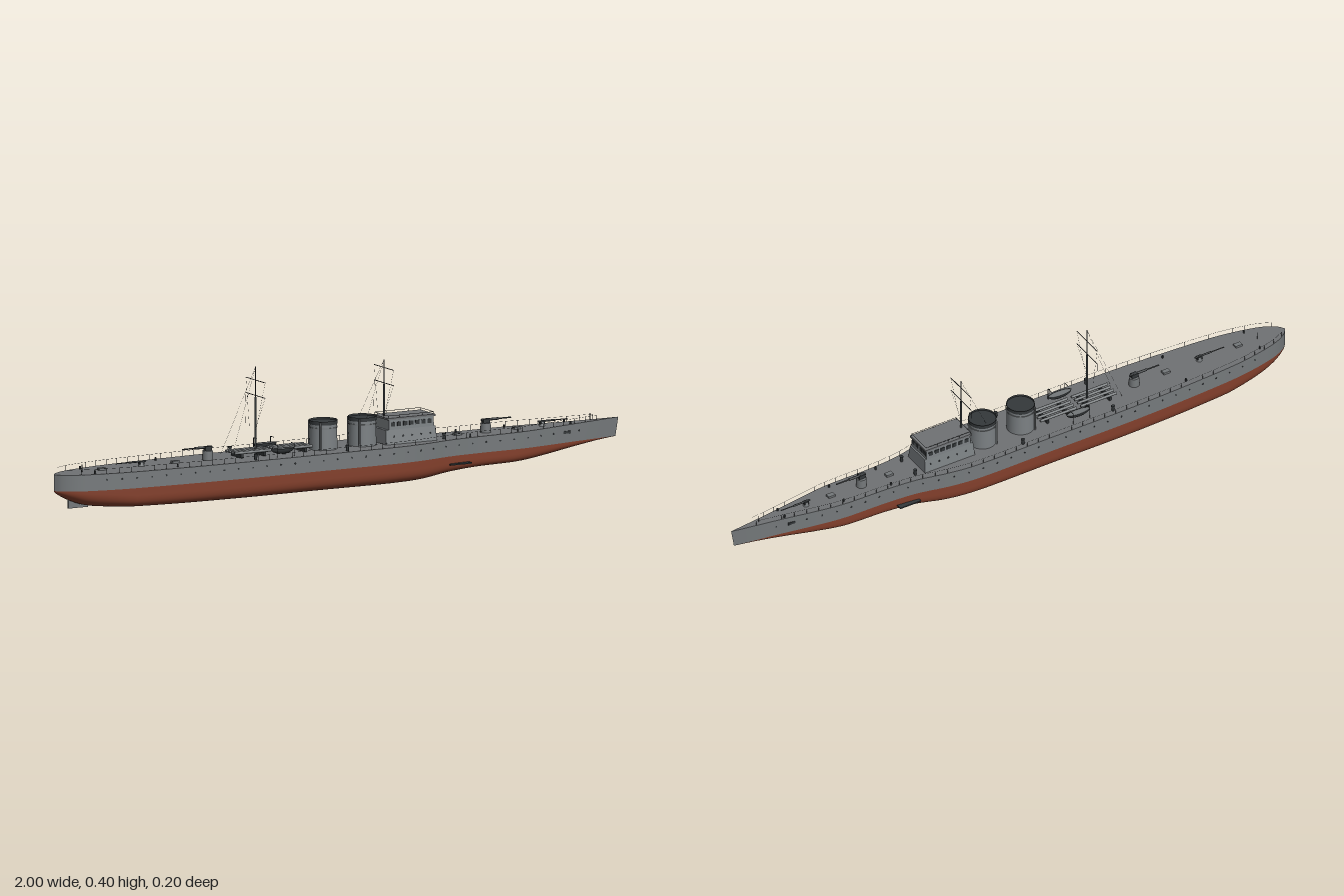
import * as THREE from 'three';
import { mergeGeometries } from 'three/addons/utils/BufferGeometryUtils.js';

const WL = 0.068; // waterline height
const mat = (name, color, side = THREE.FrontSide) => {
  const m = new THREE.MeshStandardMaterial({ color, side });
  m.name = name;
  return m;
};

// Hull stations: x, half beam, keel height
const stations = [
  [-1, 0, 0.066], [-0.985, 0.02, 0.055], [-0.95, 0.042, 0.036], [-0.9, 0.058, 0.018], [-0.8, 0.077, 0.007],
  [-0.65, 0.089, 0.002], [-0.4, 0.099, 0], [-0.1, 0.1, 0], [0.18, 0.1, 0], [0.27, 0.089, 0.003], [0.37, 0.068, 0.014],
  [0.47, 0.06, 0.021], [0.63, 0.056, 0.025], [0.72, 0.044, 0.034], [0.83, 0.025, 0.049], [0.92, 0.011, 0.061], [0.99, 0.0005, 0.068],
];
const hullCurve = new THREE.CatmullRomCurve3(stations.map(s => new THREE.Vector3(...s)));
const N = 110;
const rows = hullCurve.getPoints(N).map(p => ({ x: p.x, w: Math.max(p.y, 0), k: Math.min(p.z, WL) }));
const deckY = x => 0.119 + 0.008 * Math.max(0, (x - 0.4) / 0.6) ** 2;
const rake = x => x + 0.01 * Math.max(0, (x - 0.8) / 0.19);

// Half beam at a given x
function beam(x) {
  const i = Math.max(1, rows.findIndex(r => r.x >= x));
  const a = rows[i - 1], b = rows[i];
  return THREE.MathUtils.mapLinear(x, a.x, b.x, a.w, b.w);
}

// Skin from cross-sections: point(row, v) with v from 0 to 1
function loft(cols, point) {
  const pos = [], idx = [];
  rows.forEach((r, i) => {
    for (let j = 0; j <= cols; j++) pos.push(...point(r, j / cols));
    if (i === rows.length - 1) return;
    for (let j = 0; j < cols; j++) {
      const a = i * (cols + 1) + j, c = a + cols + 1;
      idx.push(a, a + 1, c, a + 1, c + 1, c);
    }
  });
  const g = new THREE.BufferGeometry();
  g.setAttribute('position', new THREE.Float32BufferAttribute(pos, 3));
  g.setIndex(idx);
  g.computeVertexNormals();
  return g;
}

// Cylinder between two points
function bar(a, b, r, sides = 6) {
  const p = new THREE.Vector3(...a), q = new THREE.Vector3(...b), d = q.clone().sub(p);
  const g = new THREE.CylinderGeometry(r, r, d.length(), sides);
  g.applyQuaternion(new THREE.Quaternion().setFromUnitVectors(new THREE.Vector3(0, 1, 0), d.normalize()));
  return g.translate(...p.add(q).multiplyScalar(0.5).toArray());
}
const box = (w, h, d, x, y, z) => new THREE.BoxGeometry(w, h, d).translate(x, y, z);
const drum = (r1, r2, h, x, y, z, n = 20, open = false) =>
  new THREE.CylinderGeometry(r1, r2, h, n, 1, open).translate(x, y + h / 2, z);

// Box whose top is narrowed
function taperedBox(w, h, d, sx, sz, x, y) {
  const g = new THREE.BoxGeometry(w, h, d), p = g.attributes.position;
  for (let i = 0; i < p.count; i++) if (p.getY(i) > 0) p.setXYZ(i, p.getX(i) * sx, h / 2, p.getZ(i) * sz);
  g.computeVertexNormals();
  return g.translate(x, y + h / 2, 0);
}

export function createModel() {
  const ship = new THREE.Group();
  ship.name = 'warship';
  const grey = mat('hull grey', 0x74787a), deckGrey = mat('deck grey', 0x707274), red = mat('antifouling red', 0x84402c);
  const light = mat('superstructure grey', 0x7b8083), dark = mat('dark fittings', 0x34383a, THREE.DoubleSide);
  const add = (name, geos, m) => {
    const mesh = new THREE.Mesh(Array.isArray(geos) ? mergeGeometries(geos) : geos, m);
    mesh.name = name;
    ship.add(mesh);
    return mesh;
  };

  // Hull
  add('underwaterHull', loft(28, (r, v) => {
    const t = (v - 0.5) * Math.PI, end = Math.max(0, (r.x - 0.6) / 0.4, (-r.x - 0.75) / 0.25);
    const e = 0.45 + 0.45 * end, c = Math.max(0, Math.cos(t)), s = Math.abs(Math.sin(t));
    return [r.x, WL - (WL - r.k) * c ** e, -Math.sign(t) * r.w * s ** e];
  }), red);
  for (const s of [1, -1]) add(s > 0 ? 'topsideFront' : 'topsideBack', loft(2, (r, v) => {
    const u = s > 0 ? 1 - v : v, top = deckY(r.x);
    return [THREE.MathUtils.lerp(r.x, rake(r.x), u), THREE.MathUtils.lerp(WL, top, u), s * r.w * (1 - 0.02 * u)];
  }), grey);
  add('deck', loft(2, (r, v) => [rake(r.x), deckY(r.x), (v * 2 - 1) * r.w * 0.98]), deckGrey);
  add('rudder', box(0.07, 0.032, 0.006, -0.915, 0.025, 0), grey);

  // Railing, portholes and bow fins on both sides
  const rails = [], ports = [], fins = [];
  for (const s of [1, -1]) {
    let last = null;
    for (let x = -0.97; x < 0.95; x += 0.04) {
      const z = s * (beam(x) * 0.98 - 0.001), y = deckY(x), p = [rake(x), y + 0.016, z];
      rails.push(bar([rake(x), y, z], p, 0.0007, 4));
      if (last) rails.push(bar(last, p, 0.0004, 4));
      last = p;
    }
    for (let x = -0.85; x < 0.9; x += 0.05) {
      const slope = (beam(x + 0.01) - beam(x - 0.01)) / 0.02;
      ports.push(new THREE.CylinderGeometry(0.0028, 0.0028, 0.002, 8).rotateX(Math.PI / 2)
        .rotateY(-s * Math.atan(slope)).translate(x, 0.1, s * beam(x) * 0.99));
    }
    fins.push(box(0.075, 0.004, 0.018, 0.4, 0.043, s * 0.07));
    ports.push(box(0.025, 0.008, 0.004, 0.8, 0.1, s * beam(0.8)));
  }
  add('railing', rails, dark);
  add('portholesAndAnchors', ports, dark);
  add('bowFins', fins, dark);

  // Bridge
  add('bridgeBase', taperedBox(0.18, 0.046, 0.1, 0.97, 0.86, 0.24, 0.118), light);
  add('wheelhouse', taperedBox(0.16, 0.032, 0.09, 0.98, 0.95, 0.242, 0.164), light);
  add('bridgeRoof', box(0.168, 0.006, 0.092, 0.242, 0.198, 0), deckGrey);
  add('bridgeRoofRail', [1, -1].flatMap(s => [
    bar([0.162, 0.208, s * 0.042], [0.322, 0.208, s * 0.042], 0.0008, 4),
    bar([0.242 + s * 0.08, 0.208, -0.042], [0.242 + s * 0.08, 0.208, 0.042], 0.0008, 4),
    ...[0.162, 0.202, 0.242, 0.282, 0.322].map(x => bar([x, 0.2, s * 0.042], [x, 0.208, s * 0.042], 0.0008, 4)),
  ]), dark);
  const windows = [-0.033, -0.013, 0.013, 0.033].map(z => box(0.003, 0.013, 0.014, 0.321, 0.181, z));
  for (const s of [1, -1]) {
    for (let i = 0; i < 7; i++) windows.push(box(0.014, 0.013, 0.003, 0.177 + i * 0.0215, 0.181, s * 0.0437));
    for (let i = 0; i < 5; i++) windows.push(drum(0.003, 0.003, 0.003, 0, -0.0015, 0, 8).rotateX(Math.PI / 2)
      .translate(0.18 + i * 0.032, 0.143, s * 0.0462));
  }
  add('bridgeWindows', windows, dark);

  // Two funnels with dark caps
  for (const x of [-0.045, 0.093]) {
    add('funnel', drum(0.042, 0.044, 0.082, x, 0.118, 0, 32), light);
    add('funnelCap', [drum(0.044, 0.044, 0.012, x, 0.197, 0, 32, true), drum(0.043, 0.043, 0.004, x, 0.199, 0, 32)], dark);
    add('funnelBand', drum(0.0445, 0.0445, 0.003, x, 0.185, 0, 32), grey);
    add('steamPipe', [1, -1].map(s => bar([x - 0.03, 0.118, s * 0.036], [x - 0.03, 0.205, s * 0.036], 0.003, 8)), grey);
  }

  // Masts with yards and rigging
  for (const [x, top, back] of [[-0.285, 0.395, -0.39], [0.17, 0.378, 0.06]]) {
    const parts = [bar([x, 0.118, 0], [x, 0.3, 0], 0.0035, 8), bar([x, 0.3, 0], [x, top, 0], 0.0018, 6)];
    for (const y of [0.305, 0.353]) parts.push(bar([x, y, -0.06], [x, y, 0.06], 0.0012, 5));
    add('mast', parts, dark);
    add('rigging', [1, -1].flatMap(s => [
      bar([x, top, 0], [back, 0.122, s * 0.035], 0.0003, 3),
      bar([x, 0.353, s * 0.06], [x - 0.01, 0.2, s * 0.02], 0.0003, 3),
      bar([x, 0.305, s * 0.06], [x - 0.02, 0.2, s * 0.03], 0.0003, 3),
    ]), dark);
  }

  // Racks of long tubes amidships
  const tubes = [];
  for (const z of [-0.027, -0.009, 0.009, 0.027])
    for (const x of [-0.375, -0.23]) tubes.push(bar([x, 0.135, z], [x + 0.13, 0.135, z], 0.0045, 10));
  add('tubes', tubes, grey);
  add('tubeCradles', [-0.35, -0.27, -0.2, -0.125].map(x => box(0.008, 0.014, 0.064, x, 0.125, 0)), dark);

  // Ship's boats on davits
  for (const s of [1, -1]) {
    const hull = new THREE.SphereGeometry(1, 16, 8, 0, Math.PI * 2, Math.PI / 2, Math.PI / 2);
    const boat = add('boat', hull.scale(0.042, 0.017, 0.013).translate(-0.22, 0.143, s * 0.055), dark);
    boat.material = dark;
    add('boatCover', drum(1, 1, 0.002, 0, 0, 0).scale(0.04, 1, 0.0115).translate(-0.22, 0.14, s * 0.055), grey);
    add('davits', [-0.25, -0.19].flatMap(x => [bar([x, 0.118, s * 0.074], [x, 0.158, s * 0.074], 0.0012),
      bar([x, 0.158, s * 0.074], [x, 0.158, s * 0.055], 0.0012)]), dark);
    add('ventilators', [-0.005, -0.33, 0.36].map(x => drum(0.006, 0.004, 0.02, x, 0.118, s * (x > 0.3 ? 0.04 : 0.08), 10)), dark);
  }

  // Main guns, large and light; dir is the way the barrel points
  for (const [x, dir, k] of [[-0.455, -1, 1], [0.53, 1, 1], [-0.69, -1, 0.75], [0.73, 1, 0.75]]) {
    const y = deckY(x) - 0.001;
    add('gunPedestal', k === 1 ? drum(0.016, 0.017, 0.03, x, y, 0) : drum(0.006, 0.01, 0.014, x, y, 0), grey);
    const by = y + (k === 1 ? 0.04 : 0.016);
    add('gunBarrel', [bar([x - dir * 0.015, by, 0], [x + dir * 0.045, by, 0], 0.004 * k, 10),
      bar([x + dir * 0.045, by, 0], [x + dir * 0.09, by, 0], 0.0022 * k, 8),
      box(0.022 * k, 0.014 * k, 0.014 * k, x, by - 0.004, 0)], dark);
  }

  // Small deck fittings: hatches and bollards
  add('hatches', [-0.83, -0.57, 0.43, 0.64].map(x => box(0.024, 0.008, 0.016, x, deckY(x) + 0.003, 0)), grey);
  add('bollards', [-0.88, -0.6, 0.45, 0.62, 0.82].flatMap(x => [1, -1].map(s =>
    drum(0.003, 0.003, 0.01, x, deckY(x) - 0.001, s * beam(x) * 0.75, 8))), dark);
  add('jackstaff', [bar([0.9, 0.125, 0], [0.9, 0.147, 0], 0.001), bar([-0.9, 0.118, 0], [-0.9, 0.142, 0], 0.001)], dark);
  return ship;
}
